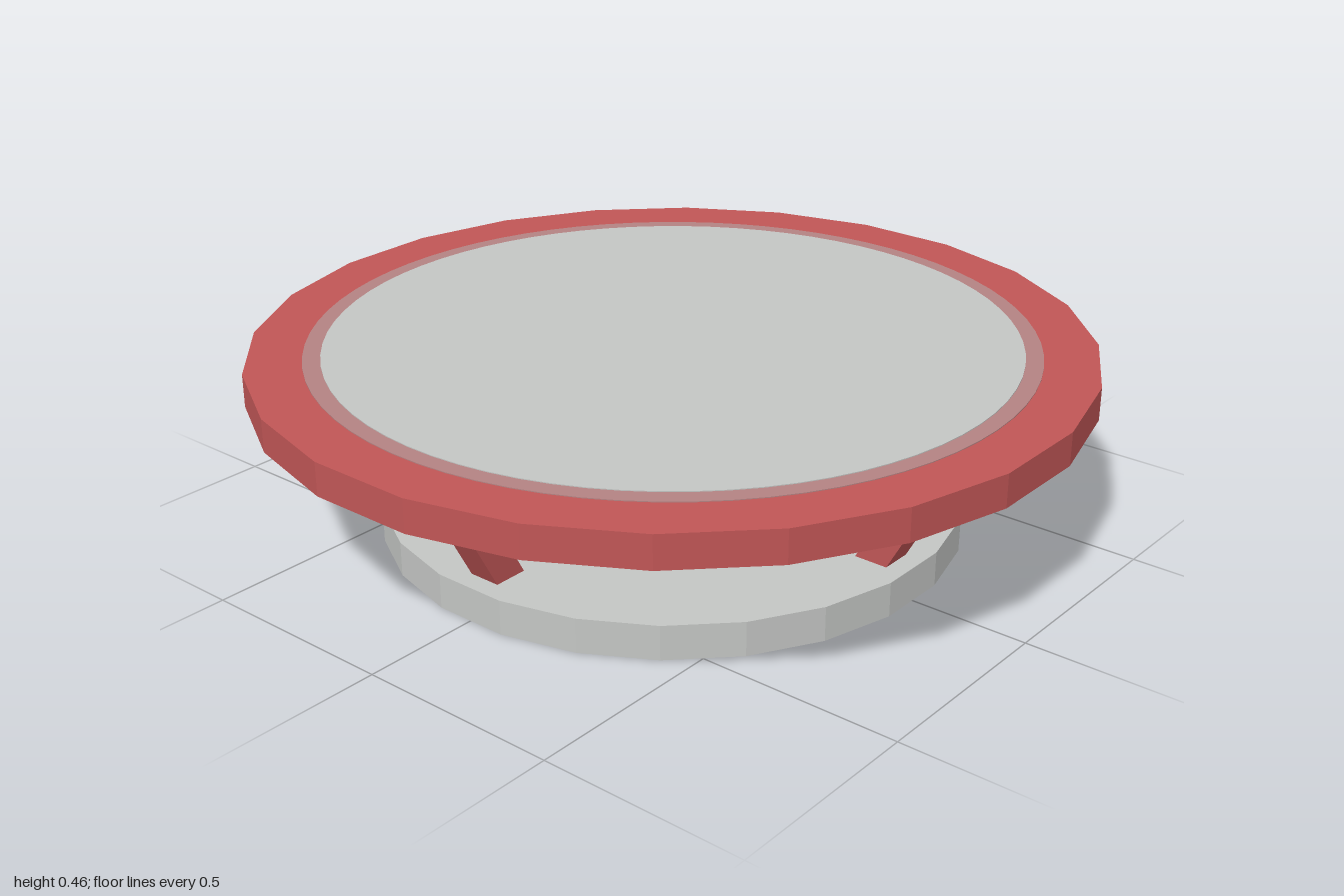
import * as THREE from 'three';

const material = (name, color) => {
  const m = new THREE.MeshStandardMaterial({ color });
  m.name = name;
  return m;
};

export function createModel() {
  const group = new THREE.Group();
  const red = material('red', 0xc05656);
  const grey = material('light grey', 0xc4c6c4);
  const mauve = material('mauve', 0xb48383);
  const maroon = material('dark maroon', 0x381a1a);
  const black = material('black', 0x0b0b0b);

  const add = (name, geometry, mat) => {
    const mesh = new THREE.Mesh(geometry, mat);
    mesh.name = name;
    group.add(mesh);
    return mesh;
  };

  // Flat-sided disc between two heights, with a facet facing each axis
  const disc = (name, apothem, y0, y1, sides, mat) => {
    const r = apothem / Math.cos(Math.PI / sides);
    const geo = new THREE.CylinderGeometry(r, r, y1 - y0, sides, 1, false, Math.PI / sides)
      .translate(0, (y0 + y1) / 2, 0).toNonIndexed();
    geo.computeVertexNormals();
    return add(name, geo, mat);
  };

  const baseTop = 0.085, slabBottom = 0.38, slabTop = 0.46;
  disc('base', 0.706, 0, baseTop, 24, grey);
  disc('topSlab', 1, slabBottom, slabTop, 24, red);

  // Thin painted plates on the upper side
  disc('topBorder', 0.872, slabTop, slabTop + 0.002, 72, mauve);
  disc('topPanel', 0.83, slabTop, slabTop + 0.004, 72, grey);

  // Thin painted plates on the underside
  disc('undersideBorder', 0.885, slabBottom - 0.002, slabBottom, 72, maroon);
  disc('undersidePanel', 0.85, slabBottom - 0.004, slabBottom, 72, black);

  // Four legs, each a box sheared outward
  const height = slabBottom - baseTop;
  const legGeo = new THREE.BoxGeometry(0.085, height, 0.08);
  const p = legGeo.attributes.position;
  for (let i = 0; i < p.count; i++) p.setX(i, p.getX(i) + (p.getY(i) > 0 ? 0.775 : 0.615));
  legGeo.translate(0, baseTop + height / 2, 0);
  legGeo.computeVertexNormals();
  ['leftLeg', 'backLeg', 'rightLeg', 'frontLeg'].forEach((name, i) => {
    add(name, legGeo, red).rotation.y = i * Math.PI / 2;
  });

  return group;
}
